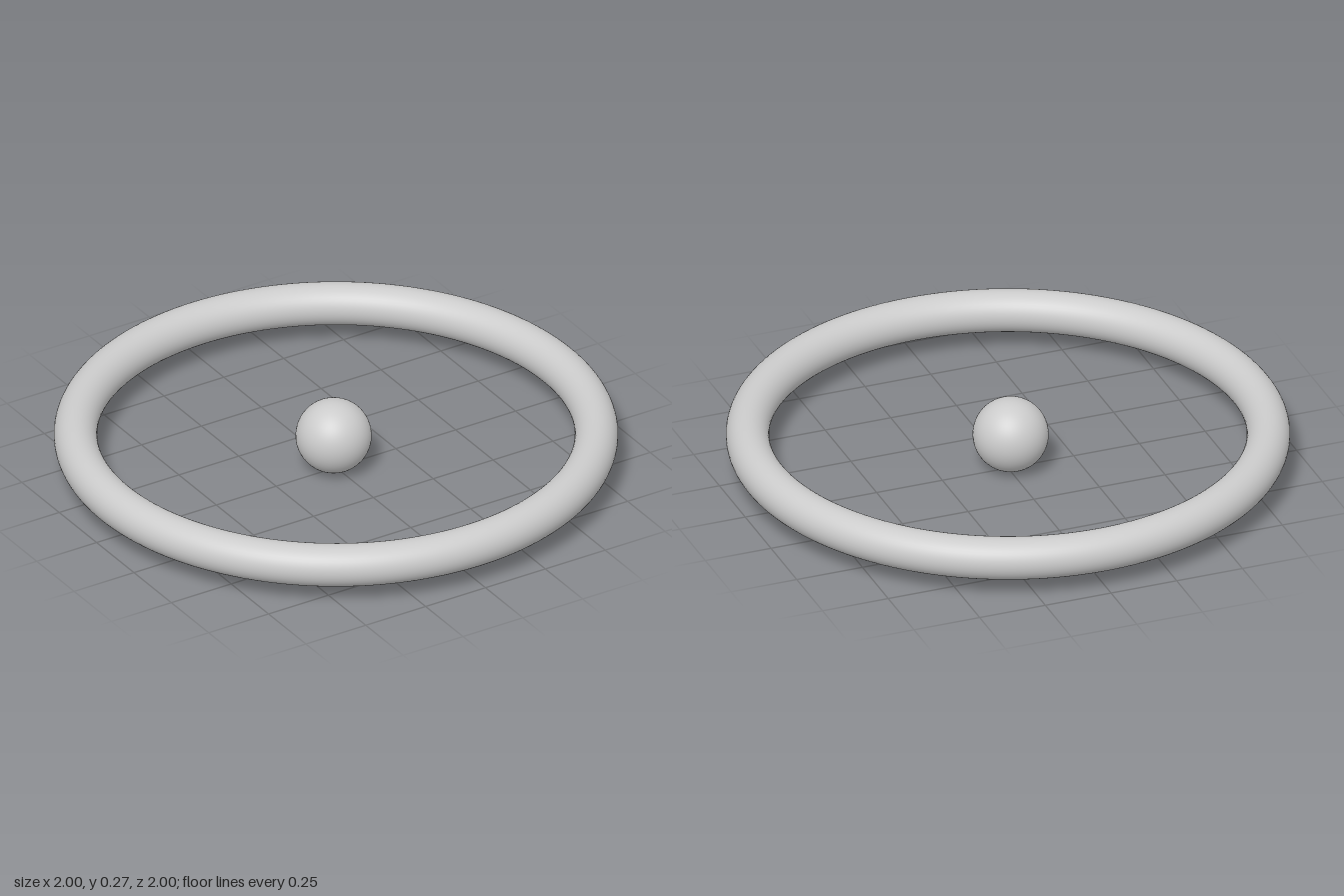
import * as THREE from 'three';

export function createModel() {
  const group = new THREE.Group();
  const material = new THREE.MeshStandardMaterial({ color: 0xcccccc });
  const centreY = 0.135;

  // Large round ring lying flat
  const ring = new THREE.Mesh(new THREE.TorusGeometry(0.923, 0.077, 40, 160), material);
  ring.name = 'ring';
  ring.rotation.x = -Math.PI / 2;
  ring.position.y = centreY + 0.002;
  group.add(ring);

  // Small ball floating in the middle, slightly off centre
  const ball = new THREE.Mesh(new THREE.SphereGeometry(0.135, 48, 32), material);
  ball.name = 'centreBall';
  ball.position.set(-0.01, centreY, 0);
  group.add(ball);

  return group;
}
